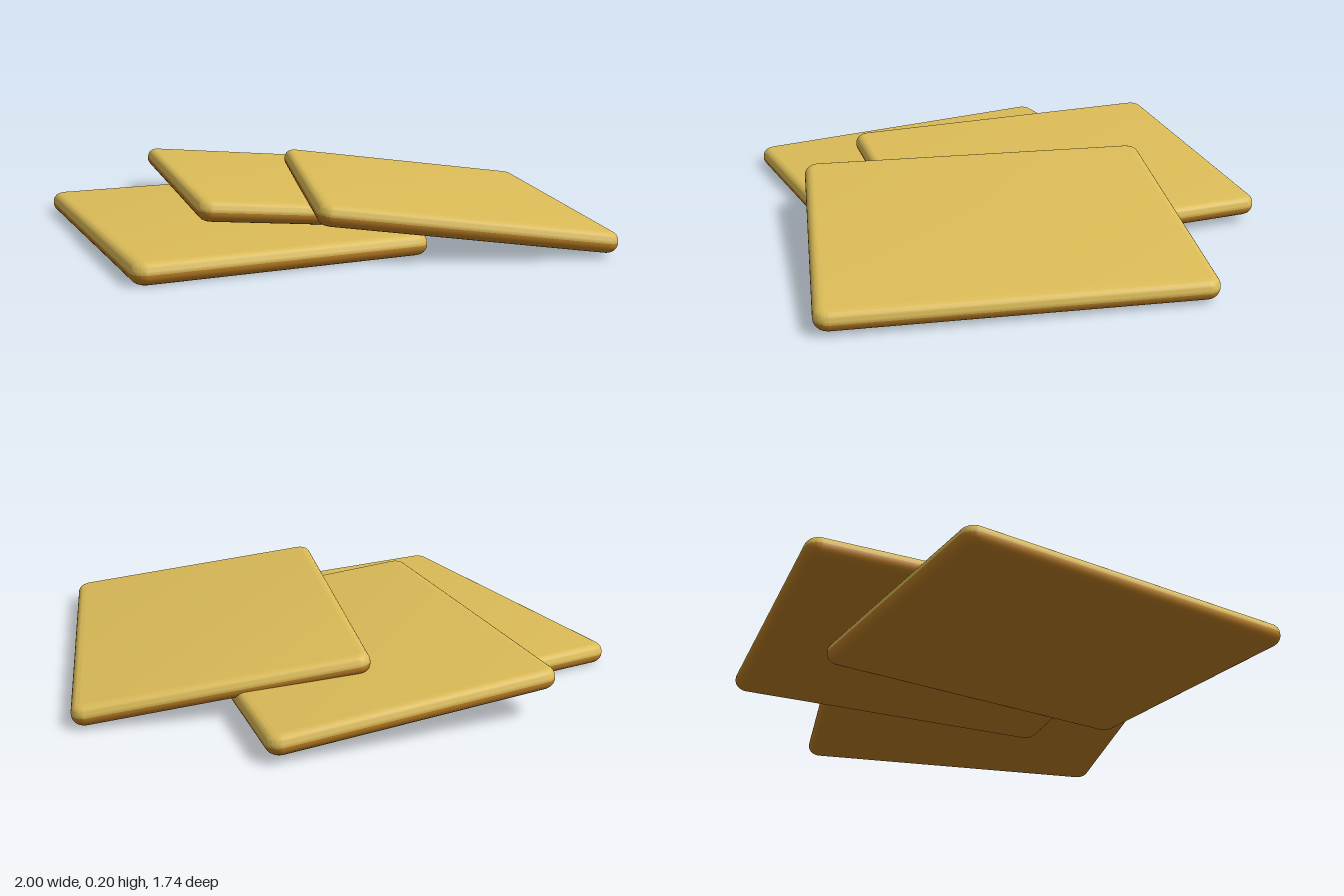
import * as THREE from 'three';
import { toCreasedNormals } from 'three/addons/utils/BufferGeometryUtils.js';

const WIDTH = 1.03, DEPTH = 1.316, THICK = 0.074, BEVEL = 0.034;

// Flat slab with rounded corners and softly rolled edges, centred on the origin.
// Material group 0 is the upper half, group 1 the lower half.
function slabGeometry() {
  const x = WIDTH / 2 - BEVEL, y = DEPTH / 2 - BEVEL, r = 0.018;
  const outline = new THREE.Shape();
  outline.absarc(x - r, y - r, r, 0, Math.PI / 2);
  outline.absarc(-x + r, y - r, r, Math.PI / 2, Math.PI);
  outline.absarc(-x + r, -y + r, r, Math.PI, Math.PI * 1.5);
  outline.absarc(x - r, -y + r, r, Math.PI * 1.5, Math.PI * 2);
  const core = THICK - 2 * BEVEL;
  const extruded = new THREE.ExtrudeGeometry(outline, {
    depth: core, steps: 2, bevelEnabled: true, bevelSize: BEVEL,
    bevelThickness: BEVEL, bevelSegments: 6, curveSegments: 6,
  });
  extruded.translate(0, 0, -core / 2);
  extruded.rotateX(-Math.PI / 2);
  const geometry = toCreasedNormals(extruded, 0.7);

  // Sort the triangles into upper and lower halves
  const height = geometry.attributes.position;
  const upper = [], lower = [];
  for (let i = 0; i < height.count; i += 3) {
    const sum = height.getY(i) + height.getY(i + 1) + height.getY(i + 2);
    (sum > 0 ? upper : lower).push(i, i + 1, i + 2);
  }
  geometry.setIndex([...upper, ...lower]);
  geometry.clearGroups();
  geometry.addGroup(0, upper.length, 0);
  geometry.addGroup(upper.length, lower.length, 1);
  return geometry;
}

function material(name, color) {
  const result = new THREE.MeshStandardMaterial({ color });
  result.name = name;
  return result;
}

export function createModel() {
  const group = new THREE.Group();
  group.name = 'slabStack';
  const materials = [material('paleGold', 0xdcbc58), material('amberBrown', 0xbf8025)];
  const geometry = slabGeometry();

  // Each slab leans on the one below: position, then pitch, yaw and roll in degrees
  const slabs = [
    ['bottomSlab', [-0.398, 0.038, 0.094], [0, 8.7, 0]],
    ['middleSlab', [-0.048, 0.106, -0.207], [0, 1.2, -5]],
    ['topSlab', [0.399, 0.107, 0.15], [-0.25, -8.6, -7]],
  ];
  for (const [name, position, angles] of slabs) {
    const slab = new THREE.Mesh(geometry, materials);
    slab.name = name;
    slab.position.set(...position);
    slab.rotation.set(...angles.map(THREE.MathUtils.degToRad));
    group.add(slab);
  }
  return group;
}
